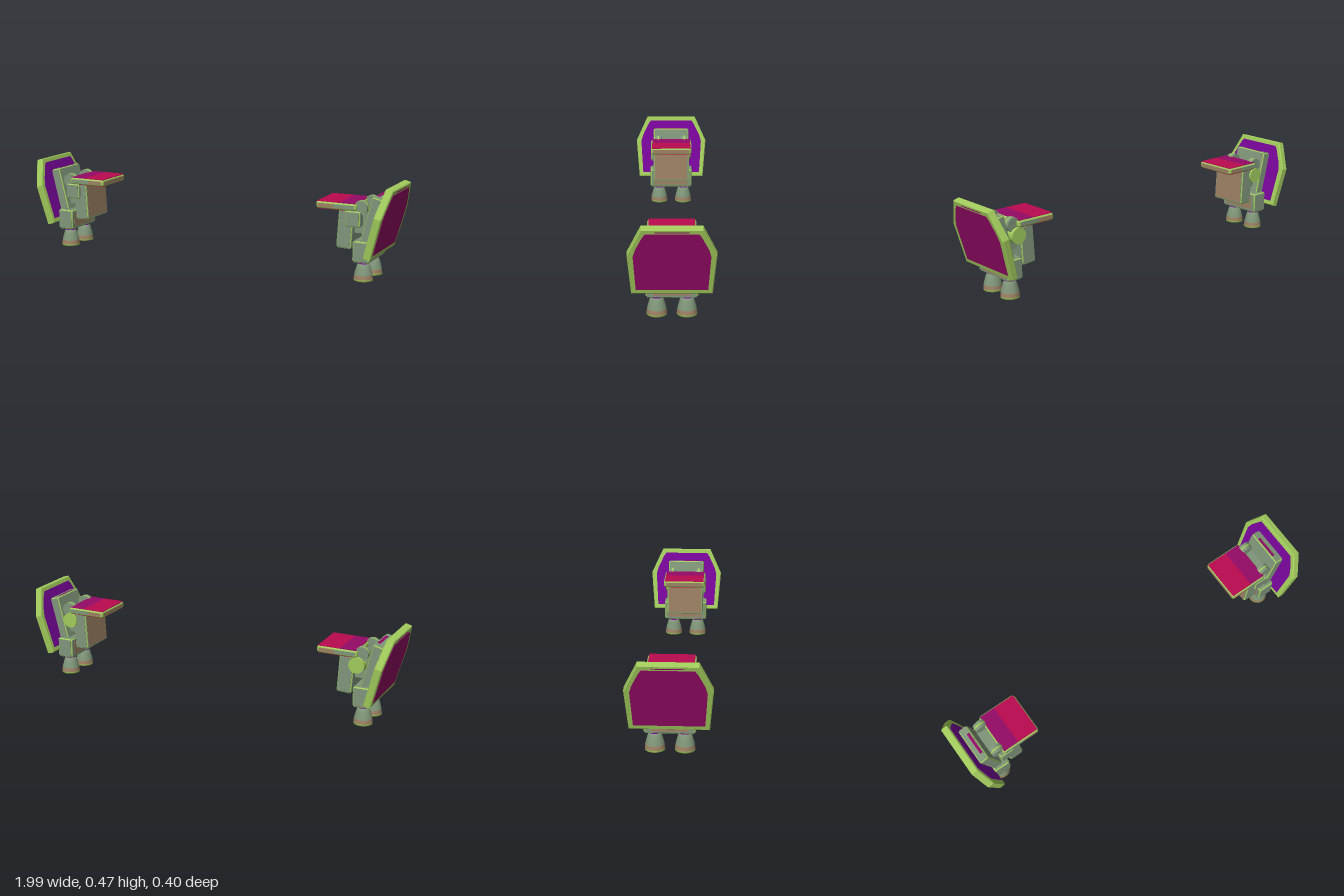
import * as THREE from 'three';
import { RoundedBoxGeometry } from 'three/addons/geometries/RoundedBoxGeometry.js';

const mat = (name, color) => new THREE.MeshStandardMaterial({ name, color });

export function createModel() {
  const green = mat('rim green', 0xa2cc5c);
  const sage = mat('sage grey', 0x80967a);
  const brown = mat('tan brown', 0x9e8264);
  const plum = mat('plum', 0x940a66);
  const violet = mat('violet', 0x78069a);
  const crimson = mat('crimson', 0xba0a50);
  const nozzleInside = violet.clone();
  nozzleInside.side = THREE.DoubleSide;

  const model = new THREE.Group();
  model.name = 'thrusterPods';

  // Half outline mirrored across the centre line, then extruded along x
  const slab = (half, depth, bevel) => {
    const pts = [...half, ...half.map(([z, y]) => [-z, y]).reverse()];
    const shape = new THREE.Shape(pts.map(([z, y]) => new THREE.Vector2(z, y)));
    const geo = new THREE.ExtrudeGeometry(shape, {
      depth: depth - 2 * bevel, bevelEnabled: bevel > 0, bevelSize: bevel,
      bevelThickness: bevel, bevelOffset: -bevel, bevelSegments: 1,
    });
    return geo.center().rotateY(Math.PI / 2);
  };

  const buildPod = (s) => {
    const pod = new THREE.Group();
    pod.name = s > 0 ? 'leftPod' : 'rightPod';

    const add = (parent, name, geo, material, x, y, z) => {
      const mesh = new THREE.Mesh(geo, material);
      mesh.name = name;
      mesh.position.set(s * x, y, z);
      parent.add(mesh);
      return mesh;
    };
    const plate = (parent, name, w, h, d, material, x, y, z) =>
      add(parent, name, new THREE.BoxGeometry(w, h, d), material, x, y, z);
    // Rounded box with green edges and sage faces
    const trimmed = (parent, name, w, h, d, r, x, y, z) => {
      add(parent, name + 'Edges', new RoundedBoxGeometry(w, h, d, 2, r), green, x, y, z);
      const e = 0.0016, c = r * 1.1;
      plate(parent, name + 'SideFaces', w + e, h - c, d - c, sage, x, y, z);
      plate(parent, name + 'EndFaces', w - c, h + e, d - c, sage, x, y, z);
      plate(parent, name + 'FrontFaces', w - c, h - c, d + e, sage, x, y, z);
    };
    const disc = (name, r, length, material, x, y, z) => {
      const mesh = add(pod, name, new THREE.CylinderGeometry(r, r, length, 20), material, x, y, z);
      mesh.rotation.x = Math.PI / 2;
    };
    const tilted = (name, x, y, angle) => {
      const g = new THREE.Group();
      g.name = name;
      g.position.set(s * x, y, 0);
      g.rotation.z = -s * angle;
      pod.add(g);
      return g;
    };

    // Leaning six-sided shield with a coloured panel on each face
    const shield = tilted('shield', 0.9345, 0.299, 0.265);
    add(shield, 'shieldFrame',
      slab([[0.183, -0.174], [0.2, 0.036], [0.137, 0.173]], 0.038, 0.004), green, 0, 0, 0);
    const panel = [[0.162, -0.154], [0.173, 0.026], [0.163, 0.062], [0.13, 0.13], [0.118, 0.146]];
    add(shield, 'shieldOuterPanel', slab(panel, 0.005, 0), plum, 0.0185, 0, 0);
    add(shield, 'shieldInnerPanel', slab(panel, 0.005, 0), violet, -0.0185, 0, 0);
    plate(shield, 'shieldStripe', 0.004, 0.004, 0.15, plum, 0.0185, 0.159, 0);

    // Backpack slab behind the shield
    const pack = tilted('pack', 0.878, 0.3, 0.25);
    trimmed(pack, 'pack', 0.05, 0.235, 0.2, 0.01, 0, 0, 0);
    plate(pack, 'packTopPanel', 0.014, 0.004, 0.12, plum, -0.01, 0.1175, 0);

    // Thruster block
    trimmed(pod, 'thrusterBlock', 0.086, 0.105, 0.236, 0.012, 0.838, 0.148, 0);
    plate(pod, 'blockSidePanel', 0.004, 0.075, 0.17, brown, 0.8805, 0.145, 0);
    plate(pod, 'blockInnerPanel', 0.004, 0.075, 0.19, brown, 0.7955, 0.148, 0);
    plate(pod, 'blockBottomPanel', 0.06, 0.004, 0.16, plum, 0.838, 0.0945, 0);

    // Bell nozzles
    const lathe = (pts) =>
      new THREE.LatheGeometry(pts.map(([r, y]) => new THREE.Vector2(r, y)), 24);
    const bell = [[0.0445, 0.03], [0.041, 0.045], [0.0355, 0.065], [0.031, 0.078], [0.026, 0.085]];
    for (const z of [-0.069, 0.069]) {
      add(pod, 'nozzleBell', lathe(bell), sage, 0.837, 0, z);
      add(pod, 'nozzleBand', lathe([[0.047, 0.01], [0.0445, 0.03]]), brown, 0.837, 0, z);
      add(pod, 'nozzleLip', lathe([[0.041, 0], [0.047, 0.002], [0.047, 0.01]]), green, 0.837, 0, z);
      add(pod, 'nozzleNeck', lathe([[0.026, 0.085], [0.024, 0.089]]), violet, 0.837, 0, z);
      add(pod, 'nozzleCollar', lathe([[0.024, 0.089], [0.03, 0.097]]), green, 0.837, 0, z);
      add(pod, 'nozzleInside', lathe([[0.041, 0], [0.036, 0.03], [0, 0.05]]), nozzleInside, 0.837, 0, z);
    }

    // Inner housing below the shelf
    const housing = tilted('housing', 0.748, 0.25, 0.06);
    trimmed(housing, 'housing', 0.075, 0.19, 0.2, 0.01, 0, 0, 0);
    plate(housing, 'housingInnerPanel', 0.004, 0.172, 0.182, brown, -0.037, 0, 0);

    // Joint between housing and pack: box in front, round hub behind
    trimmed(pod, 'jointBox', 0.078, 0.078, 0.05, 0.01, 0.79, 0.305, 0.09);
    disc('jointHub', 0.04, 0.05, green, 0.805, 0.305, -0.085);
    plate(pod, 'jointCore', 0.07, 0.1, 0.13, sage, 0.82, 0.28, 0);
    for (const z of [-0.075, 0.075]) {
      disc('hingeKnuckle', 0.035, 0.036, sage, 0.822, 0.358, z);
      disc('hingeRing', 0.036, 0.008, green, 0.822, 0.358, z);
    }

    // Shelf with two-tone top
    add(pod, 'shelf', new RoundedBoxGeometry(0.206, 0.036, 0.226, 2, 0.012), green, 0.704, 0.361, 0);
    plate(pod, 'shelfTopInner', 0.113, 0.004, 0.214, crimson, 0.6625, 0.378, 0);
    plate(pod, 'shelfTopOuter', 0.082, 0.004, 0.214, plum, 0.76, 0.378, 0);
    plate(pod, 'shelfUnderside', 0.19, 0.004, 0.21, crimson, 0.704, 0.344, 0);
    plate(pod, 'shelfEndStrip', 0.004, 0.018, 0.204, brown, 0.6025, 0.361, 0);
    for (const z of [-0.112, 0.112]) {
      plate(pod, 'shelfSideStrip', 0.08, 0.018, 0.004, brown, 0.652, 0.361, z);
      plate(pod, 'shelfSideEnd', 0.105, 0.018, 0.004, sage, 0.7445, 0.361, z);
    }
    return pod;
  };

  for (const s of [1, -1]) model.add(buildPod(s));
  return model;
}
